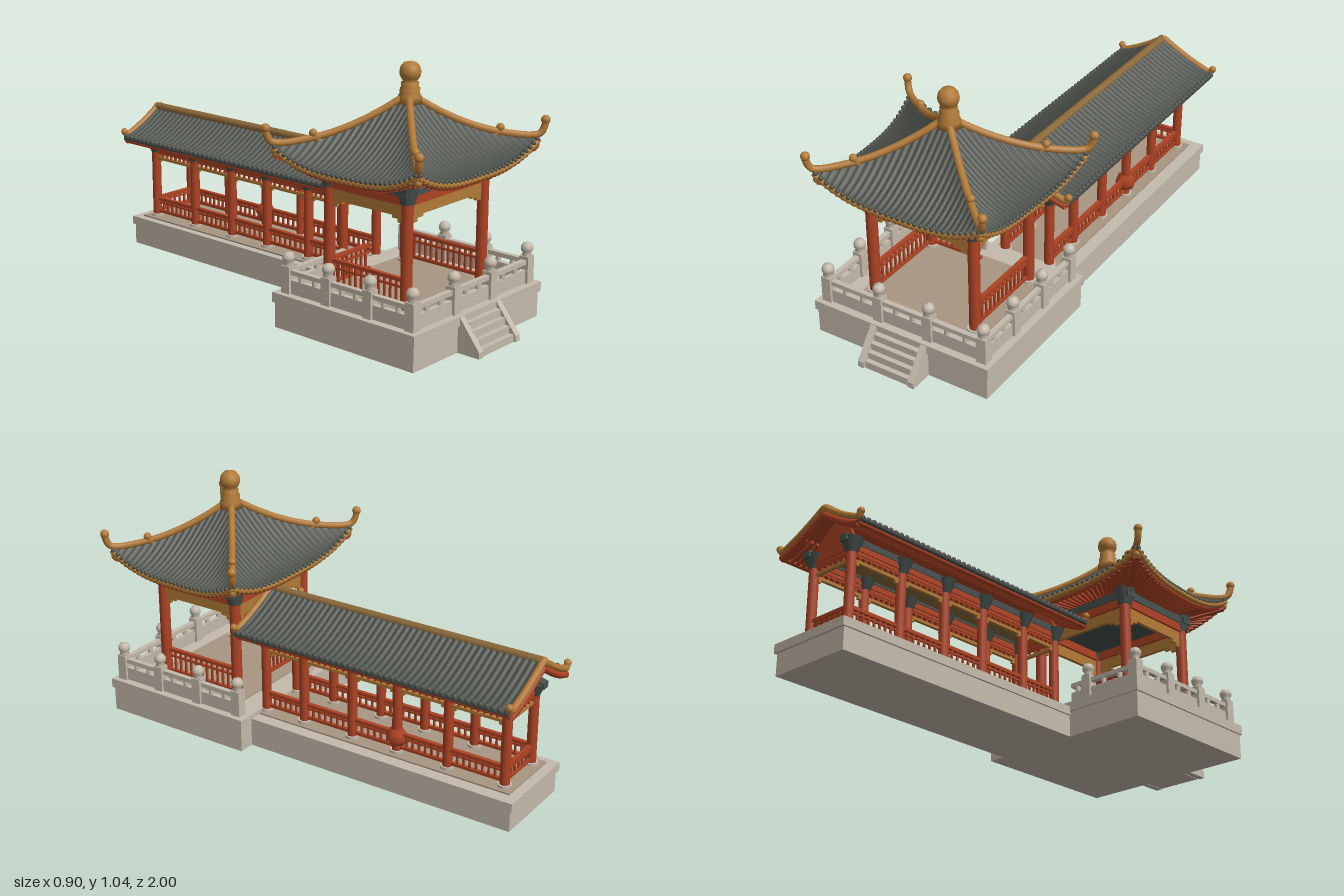
import * as THREE from 'three';

const mat = (name, color, double) => {
  const m = new THREE.MeshStandardMaterial({ color });
  m.name = name;
  if (double) m.side = THREE.DoubleSide;
  return m;
};

export function createModel() {
  const root = new THREE.Group();
  const stone = mat('pale stone', 0xc4baab), floorTan = mat('floor tan', 0xa89682);
  const red = mat('red timber', 0xae4324, true), gold = mat('ochre glaze', 0xb27a37);
  const tile = mat('grey tile', 0x4c504a, true), teal = mat('dark teal paint', 0x47524f);
  const worn = mat('weathered ochre', 0x8c6a3a);
  const V = (x, y, z) => new THREE.Vector3(x, y, z);
  const outline = (pts) => pts.map(q => new THREE.Vector2(...q));
  let part = root;
  const group = (name) => { part = new THREE.Group(); part.name = name; root.add(part); };
  const add = (name, geo, m, x = 0, y = 0, z = 0) => {
    const o = new THREE.Mesh(geo, m);
    o.name = name; o.position.set(x, y, z); part.add(o);
    return o;
  };
  // box given by its extents
  const box = (name, m, x0, x1, y0, y1, z0, z1) =>
    add(name, new THREE.BoxGeometry(x1 - x0, y1 - y0, z1 - z0), m, (x0 + x1) / 2, (y0 + y1) / 2, (z0 + z1) / 2);
  const beam = (name, m, a, b, w, h) => {
    const o = add(name, new THREE.BoxGeometry(w, h, a.distanceTo(b)), m);
    o.position.copy(a).lerp(b, 0.5); o.lookAt(b);
  };
  const tube = (name, m, pts, r, seg = 24) =>
    add(name, new THREE.TubeGeometry(new THREE.CatmullRomCurve3(pts), seg, r, 8), m);
  const ball = (name, m, p, r) => add(name, new THREE.SphereGeometry(r, 12, 8), m, p.x, p.y, p.z);
  const post = (name, m, x, z, y0, y1, r, rTop = r) =>
    add(name, new THREE.CylinderGeometry(rTop, r, y1 - y0, 14), m, x, (y0 + y1) / 2, z);
  // surface from a function of (i/nu, j/nv)
  const sheet = (name, m, nu, nv, f) => {
    const p = [], idx = [];
    for (let i = 0; i <= nu; i++) for (let j = 0; j <= nv; j++) {
      p.push(...f(i / nu, j / nv).toArray());
      if (i < nu && j < nv) {
        const a = i * (nv + 1) + j, b = a + nv + 1;
        idx.push(a, a + 1, b, b, a + 1, b + 1);
      }
    }
    const g = new THREE.BufferGeometry();
    g.setAttribute('position', new THREE.Float32BufferAttribute(p, 3));
    g.setIndex(idx); g.computeVertexNormals();
    add(name, g, m);
  };
  // timber lattice between two points: three rails and uprights
  const lattice = (name, a, b, y0, y1, lower = red) => {
    const at = (t, y) => a.clone().lerp(b, t).setY(y);
    const ym = y1 * 0.7 + y0 * 0.3;
    beam(name + 'TopRail', red, at(0, y1), at(1, y1), 0.018, 0.014);
    beam(name + 'MiddleRail', red, at(0, ym), at(1, ym), 0.01, 0.008);
    beam(name + 'LowerRail', lower, at(0, y0), at(1, y0), 0.014, 0.012);
    const n = Math.round(a.distanceTo(b) / 0.028);
    for (let i = 1; i < n; i++) {
      const p = at(i / n, (y0 + y1) / 2);
      add(name + 'Upright', new THREE.BoxGeometry(0.008, y1 - y0, 0.008), red, p.x, p.y, p.z);
    }
  };

  // stone terraces
  group('terrace');
  box('pavilionBase', stone, -0.395, 0.395, 0, 0.105, 0.215, 0.9);
  box('pavilionBaseLip', stone, -0.403, 0.403, 0.105, 0.145, 0.207, 0.908);
  box('pavilionFloor', floorTan, -0.28, 0.28, 0.145, 0.152, 0.31, 0.785);
  box('corridorBase', stone, -0.045, 0.325, 0, 0.09, -0.99, 0.22);
  box('corridorBaseLip', stone, -0.053, 0.333, 0.09, 0.126, -1, 0.21);
  box('corridorFloor', floorTan, -0.02, 0.28, 0.126, 0.132, -0.96, 0.21);
  for (let i = 0; i < 4; i++) box('step', stone, -0.1, 0.1, 0, 0.118 - i * 0.029, 0.9, 0.93 + i * 0.021);
  const cheek = new THREE.Shape(outline([[0.9, 0], [1, 0], [1, 0.025], [0.908, 0.142], [0.9, 0.142]]));
  for (const x of [-0.103, 0.13]) {
    const c = add('stairCheek', new THREE.ExtrudeGeometry(cheek, { depth: 0.027, bevelEnabled: false }), stone, x);
    c.rotation.y = -Math.PI / 2;
  }

  // stone balustrade
  group('balustrade');
  const cap = outline([[0.016, 0], [0.022, 0.006], [0.015, 0.013], [0.024, 0.025], [0.025, 0.038], [0.017, 0.052], [0, 0.057]]);
  const baluster = (x, z) => {
    box('stonePost', stone, x - 0.021, x + 0.021, 0.145, 0.255, z - 0.021, z + 0.021);
    add('stonePostCap', new THREE.LatheGeometry(cap, 14), stone, x, 0.253, z);
  };
  const stoneRail = (a, b) => {
    beam('stoneHandrail', stone, V(a[0], 0.232, a[1]), V(b[0], 0.232, b[1]), 0.022, 0.018);
    beam('stonePanel', stone, V(a[0], 0.173, a[1]), V(b[0], 0.173, b[1]), 0.02, 0.056);
    for (const t of [0.33, 0.67]) post('stoneSpindle', stone, a[0] + (b[0] - a[0]) * t, a[1] + (b[1] - a[1]) * t, 0.195, 0.228, 0.011);
  };
  const zs = [0.865, 0.665, 0.46, 0.255];
  for (const s of [-1, 1]) {
    zs.forEach((z, i) => { baluster(s * 0.36, z); if (i) stoneRail([s * 0.36, zs[i - 1]], [s * 0.36, z]); });
    baluster(s * 0.115, 0.865);
    stoneRail([s * 0.36, 0.865], [s * 0.115, 0.865]);
  }
  stoneRail([-0.115, 0.865], [0.115, 0.865]);
  baluster(-0.115, 0.255);
  stoneRail([-0.36, 0.255], [-0.115, 0.255]);
  stoneRail([-0.115, 0.255], [-0.03, 0.255]);

  // pavilion timber frame
  group('pavilionFrame');
  const px = 0.235, z0 = 0.355, z1 = 0.735, zc = 0.545;
  const columns = [[-px, z1], [px, z1], [px, z0], [-px, z0]];
  columns.forEach(([x, z], i) => {
    post('pavilionColumn', red, x, z, 0.145, 0.6, 0.023);
    post('columnFoot', stone, x, z, 0.145, 0.163, 0.032);
    post('columnBracket', teal, x, z, 0.57, 0.645, 0.028, 0.045);
    const d = columns[(i + 1) % 4], a = V(x, 0, z), b = V(d[0], 0, d[1]);
    const at = (t, y) => a.clone().lerp(b, t).setY(y);
    beam('redBeam', red, at(0, 0.582), at(1, 0.582), 0.035, 0.036);
    beam('tealBeam', teal, at(-0.08, 0.617), at(1.08, 0.617), 0.045, 0.034);
    beam('ochreFrieze', gold, at(0.05, 0.54), at(0.95, 0.54), 0.016, 0.046);
    for (const [t, w, y] of [[0.05, 0.13, 0.514], [0.82, 0.13, 0.514], [0.05, 0.06, 0.5], [0.89, 0.06, 0.5]])
      beam('friezeBracket', gold, at(t, y), at(t + w, y), 0.014, 0.016);
    if (i % 2) lattice('pavilionSeat', at(0.05, 0), at(0.95, 0), 0.175, 0.272);
  });
  lattice('pavilionBackSeat', V(-0.215, 0, z0), V(0.01, 0, z0), 0.175, 0.272);
  box('pavilionCeiling', teal, -px, px, 0.6, 0.608, z0, z1);

  // pavilion roof: four curved faces meeting at hips
  group('pavilionRoof');
  const C = [[-0.375, 0.89], [0.375, 0.89], [0.415, 0.222], [-0.415, 0.222]];
  const roofAt = (e, s, t, dy = 0) => {
    const A = C[e], B = C[(e + 1) % 4], k = (s + 1) / 2, up = Math.max(0, 1 - t);
    const mid = 0.66 + 0.25 * up ** 1.5, hip = 0.735 + 0.175 * up ** 2;
    const w = e % 2 ? t * (1 - 0.035 * (1 - s * s)) : t; // side eaves bow inward
    return V(w * (A[0] + (B[0] - A[0]) * k), mid + (hip - mid) * Math.abs(s) ** 3 + dy,
      zc + t * (A[1] + (B[1] - A[1]) * k - zc));
  };
  const soffitAt = (e, s, r, dy = 0) => {
    const p = roofAt(e, s, 0.58 + 0.4 * r);
    p.y = 0.645 + (roofAt(e, s, 1).y - 0.02 - 0.645) * r ** 1.3 + dy;
    return p;
  };
  const rows = 30;
  for (let e = 0; e < 4; e++) {
    sheet('tiledFace', tile, rows * 6, 14, (i, j) => {
      const u = i * 2 - 1, t = Math.max(0.02, Math.abs(u) + (1 - Math.abs(u)) * j);
      return roofAt(e, Math.max(-1, Math.min(1, u / t)), t, 0.009 * Math.abs(Math.sin(i * rows * Math.PI)));
    });
    sheet('redSoffit', red, 20, 6, (i, j) => soffitAt(e, i * 2 - 1, j));
    const line = (t, dy) => Array.from({ length: 17 }, (_, i) => roofAt(e, i / 8 - 1, t, dy));
    tube('ochreEave', gold, line(0.995, -0.009), 0.011, 40);
    tube('redEave', red, line(0.96, -0.024), 0.01, 40);
    for (let i = 0; i < rows; i++) {
      const s = (i + 0.5) / rows * 2 - 1;
      ball('tileEnd', tile, roofAt(e, s, 1, 0.003), 0.01);
      ball('dripTile', gold, roofAt(e, s, 1, -0.012), 0.01);
      beam('rafter', red, soffitAt(e, s, 0.02, -0.006), soffitAt(e, s, 0.98, -0.006), 0.011, 0.014);
    }
    // hip ridge with upturned end
    const h = (t, y) => V(C[e][0] * t, y, zc + (C[e][1] - zc) * t);
    const pts = [0.06, 0.2, 0.4, 0.6, 0.8, 0.95].map(t => roofAt(e, -1, t, 0.009));
    pts.push(h(1.01, 0.752), h(1.04, 0.782), h(1.045, 0.802));
    tube('hipRidge', gold, pts, 0.0145, 40);
    ball('hipTip', gold, h(1.045, 0.804), 0.0185);
    tube('hipOrnament', gold, [h(0.66, 0.75), h(0.69, 0.77), h(0.7, 0.778)], 0.014, 6);
    ball('hipOrnamentTip', gold, h(0.7, 0.778), 0.0165);
    beam('hipBeam', red, h(0.58, 0.64), h(0.97, 0.7), 0.026, 0.03);
    ball('hipBeamEnd', gold, h(0.97, 0.703), 0.017);
  }
  const finial = outline([[0, 0.88], [0.048, 0.88], [0.045, 0.908], [0.039, 0.916], [0.039, 0.938], [0.033, 0.942], [0.035, 0.96],
    [0.026, 0.964], [0.034, 0.975], [0.041, 0.99], [0.042, 1.002], [0.038, 1.02], [0.026, 1.035], [0, 1.042]]);
  add('finial', new THREE.LatheGeometry(finial, 24), gold, 0.006, 0, zc);

  // corridor timber frame
  group('corridorFrame');
  const cz = [0.2, 0.01, -0.225, -0.435, -0.665, -0.915];
  for (const x of [0.025, 0.235]) {
    cz.forEach((z, i) => {
      post('corridorColumn', red, x, z, 0.126, 0.47, 0.02);
      post('corridorColumnFoot', stone, x, z, 0.126, 0.142, 0.028);
      post('corridorBracket', teal, x, z, 0.43, 0.485, 0.022, 0.044);
      if (!i) return;
      const a = V(x, 0, cz[i - 1] - 0.015), b = V(x, 0, z + 0.015);
      lattice('corridorSeat', a, b, 0.155, 0.212);
      lattice('corridorFrieze', a, b, 0.402, 0.436, gold);
      for (const end of [a, b]) box('friezeCorner', gold, x - 0.006, x + 0.006, 0.385, 0.402, end.z - 0.018, end.z + 0.018);
    });
    box('corridorBeam', red, x - 0.014, x + 0.014, 0.443, 0.466, -0.94, 0.22);
    box('corridorPurlin', teal, x - 0.018, x + 0.018, 0.466, 0.492, -0.96, 0.22);
  }
  add('seatKnob', new THREE.OctahedronGeometry(0.045, 1), red, 0.235, 0.197, -0.435);
  lattice('endSeat', V(0.04, 0, -0.915), V(0.22, 0, -0.915), 0.155, 0.212);
  for (const z of [0.2, -0.915]) {
    lattice('endFrieze', V(0.04, 0, z), V(0.22, 0, z), 0.402, 0.436, gold);
    box('endBeam', red, 0.025, 0.235, 0.443, 0.475, z - 0.014, z + 0.014);
  }
  box('corridorCeiling', worn, 0.03, 0.23, 0.476, 0.482, -0.92, 0.2);

  // corridor roof: two concave slopes with tiles running down
  group('corridorRoof');
  const zA = 0.265, zB = -0.985, rx = 0.11, n = 46;
  const slope = (side, t, z, dy = 0) =>
    V(rx + t * (side < 0 ? -0.205 : 0.245), 0.508 + 0.107 * Math.max(0, 1 - t) ** 1.35 + dy, z);
  for (const s of [-1, 1]) {
    sheet('corridorTiles', tile, n * 6, 8, (i, j) =>
      slope(s, j, zA + (zB - zA) * i, 0.009 * Math.abs(Math.sin(i * n * Math.PI))));
    sheet('corridorSoffit', red, 1, 8, (i, j) => slope(s, j, zA + (zB - zA) * i, -0.017));
    tube('corridorEave', tile, [slope(s, 1, zA, -0.006), slope(s, 1, zB, -0.006)], 0.01, 2);
    tube('corridorRedEave', red, [slope(s, 0.96, zA, -0.021), slope(s, 0.96, zB, -0.021)], 0.01, 2);
    for (let i = 0; i < n; i++) {
      const z = zA + (zB - zA) * (i + 0.5) / n;
      ball('corridorTileEnd', tile, slope(s, 1, z, 0.002), 0.011);
      beam('corridorRafter', red, slope(s, 0.45, z, -0.025), slope(s, 0.97, z, -0.023), 0.011, 0.014);
    }
    for (const z of [zA, zB]) {
      const edge = (dy) => [0, 0.25, 0.5, 0.75, 0.97].map(t => slope(s, t, z, dy));
      tube('gableRidge', gold, [...edge(0.006), slope(s, 1.02, z, 0.024)], 0.014);
      ball('gableRidgeTip', gold, slope(s, 1.02, z, 0.024), 0.015);
      tube('bargeboard', red, edge(-0.022), 0.014);
    }
  }
  tube('corridorRidge', worn, [V(rx - 0.008, 0.614, zA), V(rx - 0.008, 0.614, zB)], 0.019, 2);
  for (const z of [zA, zB]) add('ridgeEnd', new THREE.SphereGeometry(0.019, 12, 8), gold, rx - 0.008, 0.614, z).scale.z = 0.75;
  const gable = new THREE.Shape(outline([[0.0, 0.475], [0.25, 0.475], [0.2, 0.53], [rx, 0.6], [0.03, 0.53]]));
  for (const z of [0.19, -0.92])
    add('gablePanel', new THREE.ExtrudeGeometry(gable, { depth: 0.012, bevelEnabled: false }), red, 0, 0, z);

  return root;
}
